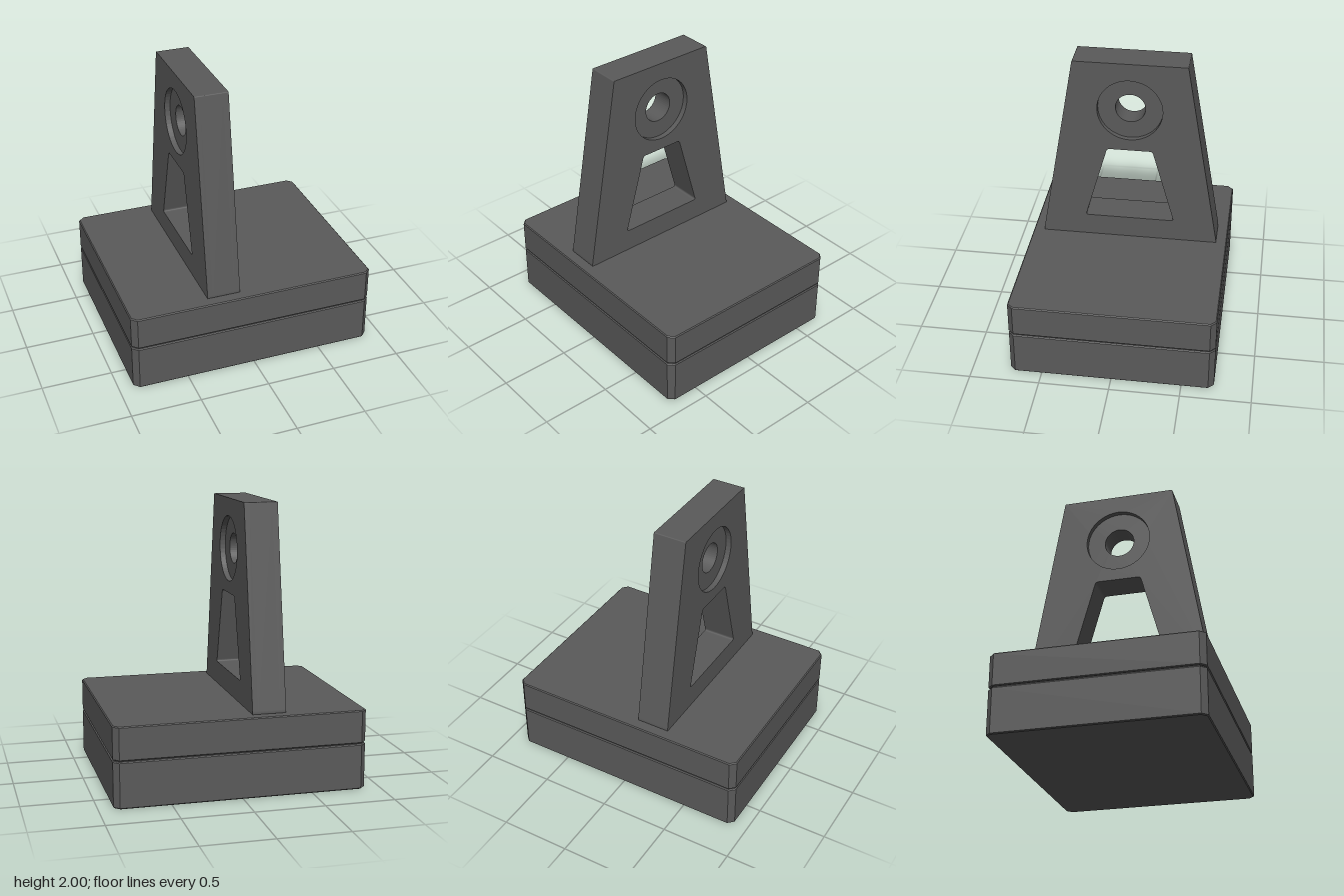
import * as THREE from 'three';

const WIDTH = 1.79, DEPTH = 1.46;

// Traces a closed polygon whose corners are rounded by r
function rounded(path, points, r) {
  const n = points.length;
  const v = points.map(([x, y]) => new THREE.Vector2(x, y));
  for (let i = 0; i < n; i++) {
    const p = v[i], prev = v[(i + n - 1) % n], next = v[(i + 1) % n];
    const a = prev.clone().sub(p).setLength(r).add(p);
    const b = next.clone().sub(p).setLength(r).add(p);
    if (i === 0) path.moveTo(a.x, a.y);
    else path.lineTo(a.x, a.y);
    path.quadraticCurveTo(p.x, p.y, b.x, b.y);
  }
  path.closePath();
  return path;
}

// Rectangle with cut corners
function cutRectangle(w, d, c) {
  const x = w / 2, z = d / 2;
  return new THREE.Shape([
    [x - c, -z], [x, -z + c], [x, z - c], [x - c, z],
    [-x + c, z], [-x, z - c], [-x, -z + c], [-x + c, -z],
  ].map(([a, b]) => new THREE.Vector2(a, b)));
}

export function createModel() {
  const group = new THREE.Group();
  const grey = new THREE.MeshStandardMaterial({ color: 0x5a5a5a });
  grey.name = 'dark grey';

  const add = (name, geometry) => {
    const mesh = new THREE.Mesh(geometry, grey);
    mesh.name = name;
    group.add(mesh);
  };

  // Base slabs with a fine bevel along every edge
  const slab = (name, y0, y1, inset = 0, bevel = 0.007) => {
    const shape = cutRectangle(WIDTH - 2 * (inset + bevel), DEPTH - 2 * (inset + bevel), 0.035);
    const geometry = new THREE.ExtrudeGeometry(shape, {
      depth: y1 - y0 - 2 * bevel, bevelEnabled: bevel > 0,
      bevelSize: bevel, bevelThickness: bevel, bevelSegments: 1,
    });
    geometry.rotateX(-Math.PI / 2).translate(0, y0 + bevel, 0);
    add(name, geometry);
  };
  slab('lowerBase', 0, 0.327);
  slab('baseGap', 0.32, 0.34, 0.012, 0);
  slab('upperBase', 0.333, 0.57);

  // Upright bracket: tapered plate with a window and a counterbored hole
  const layer = (name, x0, x1, holeRadius) => {
    const shape = rounded(new THREE.Shape(), [
      [-0.65, 0.568], [0.65, 0.568], [0.65, 0.585], [0.408, 2], [-0.408, 2], [-0.65, 0.585],
    ], 0.007);
    shape.holes.push(rounded(new THREE.Path(), [
      [-0.328, 0.735], [-0.165, 1.315], [0.165, 1.315], [0.328, 0.735],
    ], 0.02));
    shape.holes.push(new THREE.Path().absarc(0, 1.637, holeRadius, 0, Math.PI * 2, true));
    const geometry = new THREE.ExtrudeGeometry(shape, {
      depth: x1 - x0, bevelEnabled: false, curveSegments: 24,
    });
    geometry.rotateY(Math.PI / 2).translate(x0, 0, 0);
    add(name, geometry);
  };
  layer('bracketRightFace', -0.325, -0.285, 0.235);
  layer('bracketCore', -0.285, -0.125, 0.108);
  layer('bracketLeftFace', -0.125, -0.085, 0.235);

  return group;
}
